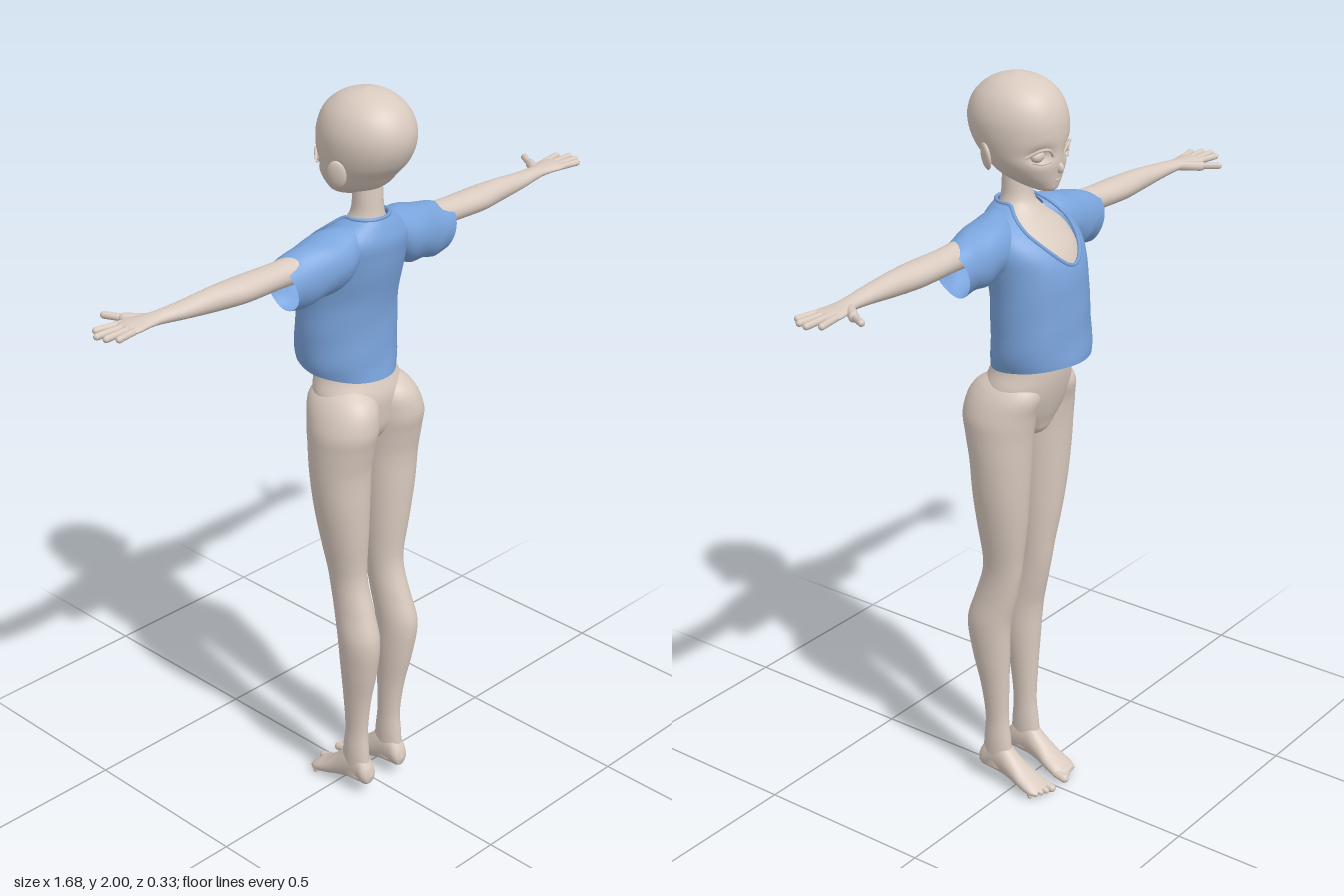
import * as THREE from 'three';

const skin = new THREE.MeshStandardMaterial({ color: 0xd9cabf, side: THREE.DoubleSide });
skin.name = 'skin';
const cloth = new THREE.MeshStandardMaterial({ color: 0x7aa4dc, side: THREE.DoubleSide });
cloth.name = 'blue cloth';

// Smooth lookup in sections [t, a0, a1, b0, b1]
function sectionAt(secs, t) {
  const dir = Math.sign(secs[secs.length - 1][0] - secs[0][0]);
  let i = 0;
  while (i < secs.length - 2 && (t - secs[i + 1][0]) * dir > 0) i++;
  const p = secs[i], q = secs[i + 1];
  const o = secs[Math.max(i - 1, 0)], r = secs[Math.min(i + 2, secs.length - 1)];
  const h = q[0] - p[0], u = (t - p[0]) / h;
  return [1, 2, 3, 4].map((k) => {
    const m0 = ((q[k] - o[k]) / (q[0] - o[0])) * h, m1 = ((r[k] - p[k]) / (r[0] - p[0])) * h;
    return p[k] * (2 * u ** 3 - 3 * u * u + 1) + m0 * (u ** 3 - 2 * u * u + u)
      + q[k] * (3 * u * u - 2 * u ** 3) + m1 * (u ** 3 - u * u);
  });
}

// Surface closed around the angle; point(row, angle) gives [x, y, z]
function wrap(rows, cols, point) {
  const pos = [], idx = [];
  for (let i = 0; i <= rows; i++)
    for (let j = 0; j < cols; j++) pos.push(...point(i, (j / cols) * Math.PI * 2));
  for (let i = 0; i < rows; i++)
    for (let j = 0; j < cols; j++) {
      const a = i * cols + j, b = i * cols + ((j + 1) % cols), c = a + cols, d = b + cols;
      idx.push(a, c, b, b, c, d);
    }
  const g = new THREE.BufferGeometry();
  g.setAttribute('position', new THREE.Float32BufferAttribute(pos, 3));
  g.setIndex(idx);
  g.computeVertexNormals();
  return g;
}

// Elliptical loft along an axis through the given sections
function loft(secs, axis, cols = 32, tweak = (p) => p) {
  const sub = 5;
  return wrap((secs.length - 1) * sub, cols, (row, a) => {
    const i = Math.min(Math.floor(row / sub), secs.length - 2);
    const t = THREE.MathUtils.lerp(secs[i][0], secs[i + 1][0], row / sub - i);
    const [a0, a1, b0, b1] = sectionAt(secs, t);
    const s = axis === 'x' ? -1 : 1;
    const u = (a0 + a1) / 2 + ((a1 - a0) / 2) * Math.cos(a);
    const v = (b0 + b1) / 2 + ((b1 - b0) / 2) * Math.sin(a) * s;
    return tweak(axis === 'x' ? [t, u, v] : axis === 'y' ? [u, t, v] : [u, v, t]);
  });
}

function mirrored(geo) {
  const g = geo.clone(), p = g.attributes.position, ix = g.index.array;
  for (let i = 0; i < p.count; i++) p.setX(i, -p.getX(i));
  for (let i = 0; i < ix.length; i += 3) [ix[i], ix[i + 1]] = [ix[i + 1], ix[i]];
  g.computeVertexNormals();
  return g;
}

function ellipsoid(x, y, z, rx, ry, rz) {
  return new THREE.SphereGeometry(1, 20, 14).scale(rx, ry, rz).translate(x, y, z);
}

function capsule(from, to, r) {
  const a = new THREE.Vector3(...from), b = new THREE.Vector3(...to), d = b.clone().sub(a);
  const g = new THREE.CapsuleGeometry(r, d.length(), 5, 12);
  g.applyQuaternion(new THREE.Quaternion().setFromUnitVectors(new THREE.Vector3(0, 1, 0), d.normalize()));
  return g.translate(...a.add(b).multiplyScalar(0.5).toArray());
}

function tube(points, r, closed = false) {
  const curve = new THREE.CatmullRomCurve3(points.map((p) => new THREE.Vector3(...p)), closed);
  return new THREE.TubeGeometry(curve, points.length * 4, r, 6, closed);
}

export function createModel() {
  const model = new THREE.Group();
  const add = (name, geo, mat = skin) => {
    const m = new THREE.Mesh(geo, mat);
    m.name = name;
    model.add(m);
  };
  const pair = (name, geo, mat) => {
    add('left ' + name, geo, mat);
    add('right ' + name, mirrored(geo), mat);
  };

  // Head, with shallow eye sockets; the face looks toward -z
  add('head', loft([
    [1.712, 0, 0, -0.06, -0.06], [1.718, -0.022, 0.022, -0.078, -0.02], [1.735, -0.048, 0.048, -0.086, 0.04],
    [1.76, -0.075, 0.075, -0.091, 0.085], [1.79, -0.095, 0.095, -0.096, 0.112], [1.82, -0.106, 0.106, -0.097, 0.14],
    [1.86, -0.114, 0.114, -0.1, 0.16], [1.9, -0.114, 0.114, -0.097, 0.164], [1.94, -0.101, 0.101, -0.082, 0.15],
    [1.97, -0.077, 0.077, -0.054, 0.122], [1.99, -0.045, 0.045, -0.014, 0.083], [2, 0, 0, 0.035, 0.035],
  ], 'y', 64, ([x, y, z]) => {
    const dent = Math.exp(-(((Math.abs(x) - 0.052) / 0.025) ** 2) - ((y - 1.815) / 0.019) ** 2);
    return [x, y, z < 0 ? z + 0.018 * dent : z];
  }));
  add('nose', ellipsoid(0, 1.778, -0.093, 0.008, 0.014, 0.013).rotateX(0));
  add('mouth', tube([[-0.017, 1.748, -0.083], [0, 1.747, -0.089], [0.017, 1.748, -0.083]], 0.0025));
  pair('ear', ellipsoid(0, 0, 0, 0.009, 0.036, 0.024).rotateY(-0.5).rotateZ(-0.2).translate(0.115, 1.81, 0.045));
  pair('eyeball', ellipsoid(0.051, 1.814, -0.064, 0.022, 0.016, 0.015));
  pair('upper eyelid', tube([[0.022, 1.812, -0.09], [0.038, 1.83, -0.091], [0.06, 1.832, -0.081], [0.086, 1.815, -0.055]], 0.004));
  pair('lower eyelid', tube([[0.03, 1.8, -0.09], [0.052, 1.796, -0.081], [0.074, 1.802, -0.066]], 0.0025));

  // Torso and neck
  add('torso', loft([
    [1.04, 0, 0, 0.02, 0.02], [1.06, -0.04, 0.04, -0.04, 0.06], [1.1, -0.09, 0.09, -0.063, 0.09],
    [1.15, -0.125, 0.125, -0.082, 0.1], [1.2, -0.132, 0.132, -0.096, 0.103], [1.25, -0.114, 0.114, -0.104, 0.088],
    [1.32, -0.105, 0.105, -0.105, 0.07], [1.42, -0.115, 0.115, -0.13, 0.07], [1.5, -0.125, 0.125, -0.134, 0.08],
    [1.56, -0.13, 0.13, -0.112, 0.09], [1.61, -0.12, 0.12, -0.07, 0.095], [1.65, -0.07, 0.07, -0.03, 0.085],
    [1.68, -0.045, 0.045, -0.008, 0.078], [1.73, -0.04, 0.04, 0, 0.074], [1.79, -0.04, 0.04, 0, 0.07],
  ], 'y', 40));

  // Legs from ankle to hip
  pair('leg', loft([
    [0.05, 0.038, 0.09, 0.01, 0.108], [0.13, 0.036, 0.092, 0.018, 0.101], [0.2, 0.037, 0.09, 0.026, 0.096],
    [0.3, 0.033, 0.099, 0.024, 0.108], [0.4, 0.026, 0.113, 0.02, 0.13], [0.5, 0.024, 0.122, 0.014, 0.142],
    [0.58, 0.024, 0.115, -0.004, 0.119], [0.65, 0.024, 0.113, -0.018, 0.096], [0.7, 0.022, 0.118, -0.025, 0.09],
    [0.8, 0.017, 0.138, -0.04, 0.098], [0.9, 0.012, 0.157, -0.05, 0.104], [1, 0.007, 0.168, -0.057, 0.108],
    [1.07, 0.002, 0.171, -0.062, 0.121], [1.13, -0.002, 0.168, -0.07, 0.132], [1.2, 0, 0.138, -0.08, 0.11],
    [1.25, 0.05, 0.08, -0.02, 0.03],
  ], 'y', 36));

  // Feet, heel to toes
  pair('foot', loft([
    [0.118, 0.06, 0.06, 0.06, 0.06], [0.11, 0.042, 0.084, 0.037, 0.09], [0.08, 0.036, 0.09, 0.03, 0.13],
    [0.04, 0.034, 0.092, 0.026, 0.13], [0, 0.03, 0.095, 0.017, 0.094], [-0.04, 0.022, 0.1, 0.006, 0.06],
    [-0.075, 0.02, 0.1, 0.001, 0.038], [-0.092, 0.03, 0.09, 0.008, 0.022],
  ], 'z', 28));
  for (let i = 0; i < 5; i++) {
    const r = i === 0 ? 0.012 : 0.009 - i * 0.0005;
    pair('toe ' + (i + 1), capsule([0.031 + i * 0.0155, 0.018, -0.07], [0.03 + i * 0.0155, r, -0.1 + i * 0.007], r));
  }

  // Arms, palms and fingers
  pair('arm', loft([
    [0.1, 1.56, 1.63, 0, 0.07], [0.2, 1.562, 1.636, -0.01, 0.068], [0.3, 1.565, 1.63, -0.013, 0.063],
    [0.42, 1.564, 1.629, -0.018, 0.065], [0.5, 1.568, 1.628, -0.012, 0.055], [0.6, 1.578, 1.62, -0.009, 0.046],
    [0.67, 1.585, 1.615, -0.012, 0.036], [0.71, 1.588, 1.612, -0.026, 0.039], [0.755, 1.59, 1.61, -0.033, 0.044],
    [0.772, 1.6, 1.6, -0.02, 0.03],
  ], 'x', 28));
  [[0.812, -0.033], [0.832, -0.005], [0.826, 0.021], [0.807, 0.043]].forEach(([x, z], i) =>
    pair('finger ' + (i + 1), capsule([0.745, 1.6, -0.022 + i * 0.018], [x, 1.6, z], 0.0085)));
  pair('thumb base', capsule([0.685, 1.598, -0.004], [0.718, 1.597, -0.045], 0.013));
  pair('thumb', capsule([0.715, 1.597, -0.042], [0.742, 1.6, -0.088], 0.009));

  // Shirt body: each column runs from the hem up to a V-shaped neckline
  const shirt = [
    [1.24, -0.123, 0.123, -0.158, 0.092], [1.29, -0.138, 0.138, -0.163, 0.086], [1.36, -0.141, 0.141, -0.157, 0.081],
    [1.45, -0.139, 0.139, -0.152, 0.085], [1.53, -0.143, 0.143, -0.142, 0.102], [1.58, -0.15, 0.15, -0.118, 0.109],
    [1.62, -0.142, 0.142, -0.08, 0.112], [1.655, -0.1, 0.1, -0.04, 0.1], [1.68, -0.055, 0.055, -0.018, 0.086],
  ];
  const shirtPoint = (v, a) => {
    const front = Math.max(0, -Math.sin(a));
    const y = THREE.MathUtils.lerp(1.263 - 0.02 * Math.sin(a), 1.678 - 0.14 * front ** 4, v);
    const [x0, x1, z0, z1] = sectionAt(shirt, y);
    const fold = 1 + 0.014 * Math.sin(a * 5 + y * 34) * Math.sin(y * 21 - a * 2) * (1 - v);
    return [((x1 - x0) / 2) * Math.cos(a) * fold, y, (z0 + z1) / 2 + ((z1 - z0) / 2) * Math.sin(a) * fold];
  };
  add('shirt body', wrap(44, 72, (i, a) => shirtPoint(i / 44, a)), cloth);
  const edge = Array.from({ length: 48 }, (_, i) => shirtPoint(1, (-i / 48) * Math.PI * 2));
  add('shirt collar', tube(edge, 0.005, true), cloth);

  // Sleeves with a slanted, slightly rippled cuff
  pair('sleeve', loft([
    [0.07, 1.56, 1.667, -0.01, 0.09], [0.11, 1.525, 1.664, -0.04, 0.1], [0.16, 1.505, 1.655, -0.045, 0.098],
    [0.22, 1.497, 1.64, -0.04, 0.086], [0.285, 1.495, 1.622, -0.032, 0.078],
  ], 'x', 40, ([x, y, z]) => [
    x + (y - 1.57) * 0.28 * ((x - 0.07) / 0.215),
    y + 0.004 * Math.sin(x * 60 + z * 50) * (y < 1.57 ? 1 : 0.4), z,
  ]), cloth);

  return model;
}
